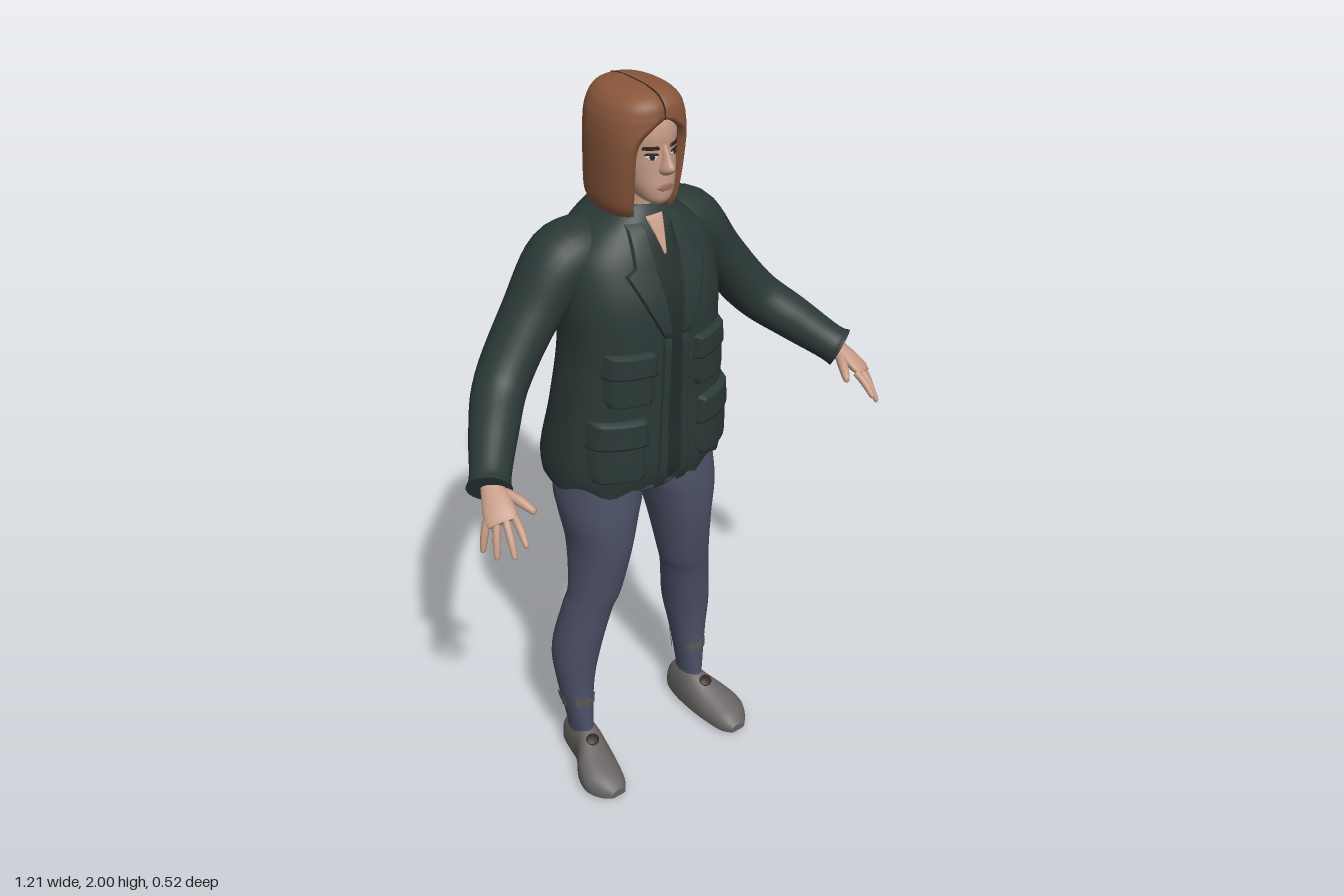
import * as THREE from 'three';

const V = (x, y, z) => new THREE.Vector3(x, y, z);
const mat = (name, color, side = THREE.FrontSide) => {
  const m = new THREE.MeshStandardMaterial({ color, side });
  m.name = name;
  return m;
};

// Catmull-Rom sample of a table of cross-section keys, t in 0..1
function spline(k, t) {
  const s = t * (k.length - 1), i = Math.min(Math.floor(s), k.length - 2), f = s - i;
  const p = j => k[Math.max(0, Math.min(k.length - 1, j))];
  return k[0].map((_, c) => {
    const a = p(i - 1)[c], b = p(i)[c], d = p(i + 1)[c], e = p(i + 2)[c];
    return b + 0.5 * f * (d - a + f * (2 * a - 5 * b + 4 * d - e + f * (3 * (b - d) + e - a)));
  });
}
// Section at a given height (first column)
function atY(k, y) {
  let lo = 0, hi = 1;
  for (let i = 0; i < 24; i++) {
    const m = (lo + hi) / 2;
    if (spline(k, m)[0] < y) lo = m; else hi = m;
  }
  return spline(k, lo);
}
const sup = (v, n) => Math.sign(v) * Math.pow(Math.abs(v), 2 / n);
// Point on a horizontal section [y, centre x, half width, front z, back z]
const around = ([y, cx, rx, zf, zb], a, n, grow = 0) => V(
  cx + (rx + grow) * sup(Math.sin(a), n), y,
  (zf + zb) / 2 + ((zf - zb) / 2 + grow) * sup(Math.cos(a), n));

// Skin closed rings of points; caps get hard edges
function skin(rings, caps = [true, true]) {
  const all = [...rings], n = rings[0].length;
  const mid = r => {
    const c = r.reduce((s, p) => s.add(p), V(0, 0, 0)).divideScalar(n);
    return r.map(() => c);
  };
  if (caps[0]) all.unshift(mid(rings[0]), rings[0]);
  if (caps[1]) all.push(rings.at(-1), mid(rings.at(-1)));
  const pos = [], idx = [];
  all.forEach(r => r.forEach(p => pos.push(p.x, p.y, p.z)));
  for (let i = 0; i < all.length - 1; i++) for (let j = 0; j < n; j++) {
    const a = i * n + j, b = i * n + (j + 1) % n;
    idx.push(a, b, a + n, b, b + n, a + n);
  }
  const g = new THREE.BufferGeometry();
  g.setAttribute('position', new THREE.Float32BufferAttribute(pos, 3));
  g.setIndex(idx);
  g.computeVertexNormals();
  return g;
}
// Upright form from horizontal sections
function loft(keys, n = 2.2, steps = 32, segs = 40) {
  return skin(Array.from({ length: steps + 1 }, (_, i) => {
    const s = spline(keys, i / steps);
    return Array.from({ length: segs }, (_, j) => around(s, j / segs * Math.PI * 2, n));
  }));
}
// Tapered limb through [x, y, z, radius along across, other radius]
function limb(keys, across, steps = 24, segs = 20) {
  return skin(Array.from({ length: steps + 1 }, (_, i) => {
    const t = i / steps, s = spline(keys, t);
    const a = spline(keys, Math.max(0, t - 0.01)), b = spline(keys, Math.min(1, t + 0.01));
    const T = V(b[0] - a[0], b[1] - a[1], b[2] - a[2]).normalize();
    const N = across.clone().addScaledVector(T, -across.dot(T)).normalize();
    const B = T.clone().cross(N);
    return Array.from({ length: segs }, (_, j) => {
      const q = j / segs * Math.PI * 2;
      return V(s[0], s[1], s[2]).addScaledVector(N, s[3] * Math.cos(q)).addScaledVector(B, s[4] * Math.sin(q));
    });
  }));
}
function bend(g, fn) {
  const p = g.attributes.position;
  for (let i = 0; i < p.count; i++) {
    const q = fn(p.getX(i), p.getY(i), p.getZ(i));
    p.setXYZ(i, q.x, q.y, q.z);
  }
  g.computeVertexNormals();
  return g;
}
// Raised plate lying on the front of a form; rows are [y, x from, x to], rising
const plate = (keys, n, rows, t, res = 14) => bend(new THREE.PlaneGeometry(1, 1, res, res), (u, v) => {
  const f = (v + 0.5) * (rows.length - 1), i = Math.min(Math.floor(f), rows.length - 2);
  const [y, x0, x1] = rows[i].map((a, c) => a + (rows[i + 1][c] - a) * (f - i));
  const x = x0 + (x1 - x0) * (u + 0.5), s = atY(keys, y);
  const w = Math.min(1, Math.abs(x - s[1]) / s[2]);
  const edge = Math.max(Math.abs(u), Math.abs(v)) > 0.499;
  const z = (s[3] + s[4]) / 2 + (s[3] - s[4]) / 2 * Math.pow(1 - Math.pow(w, n), 1 / n);
  return V(x, y, z + (edge ? -0.002 : t));
});
// Strip wrapped round a form between two angles
const band = (keys, n, a0, a1, y0, y1, grow, wave) => bend(new THREE.PlaneGeometry(1, 1, 32, 4), (u, v) => {
  const a = a0 + (a1 - a0) * (u + 0.5), y = y0 + (y1 - y0) * (v + 0.5);
  const p = around(atY(keys, y), a, n, grow);
  p.y += wave(a, v);
  return p;
});

export function createModel() {
  const model = new THREE.Group();
  const jacket = mat('jacket green', 0x2b3937, THREE.DoubleSide), shirt = mat('shirt dark', 0x222d2c);
  const trousers = mat('trouser blue', 0x4c5167), hairM = mat('hair brown', 0x8a573b, THREE.DoubleSide);
  const skinM = mat('skin', 0xc69c87), shoeM = mat('shoe grey', 0x666362), dark = mat('dark brown', 0x33251f);
  const white = mat('eye white', 0xd8d2cc), lip = mat('lip', 0xa26f60), patchM = mat('ankle patch', 0x5e5852);

  const add = (name, g, m) => {
    const mesh = new THREE.Mesh(g, m);
    mesh.name = name;
    model.add(mesh);
  };
  const pair = (name, g, m) => {
    add(name + 'Left', g, m);
    const r = g.clone().scale(-1, 1, 1), ix = r.index.array;
    for (let i = 0; i < ix.length; i += 3) [ix[i], ix[i + 1]] = [ix[i + 1], ix[i]];
    add(name + 'Right', r, m);
  };

  // Jacket body with a slightly ragged hem
  const body = [[0.985, 0, 0.245, 0.088, -0.25], [1.05, 0, 0.248, 0.1, -0.255], [1.2, 0, 0.232, 0.1, -0.215],
    [1.38, 0, 0.208, 0.106, -0.2], [1.5, 0, 0.21, 0.1, -0.226], [1.6, 0, 0.195, 0.066, -0.222],
    [1.66, 0, 0.145, 0.038, -0.205], [1.7, 0, 0.09, 0.016, -0.185], [1.72, 0, 0.07, 0, -0.168]];
  const bn = 2.4;
  add('jacketBody', bend(loft(body, bn, 40, 64), (x, y, z) => {
    const a = Math.atan2(x, z), k = Math.max(0, 1 - (y - 0.98) / 0.05);
    return V(x, y + k * 0.009 * (Math.sin(a * 7) + Math.sin(a * 12 + 1)), z);
  }), jacket);
  add('shirtFront', plate(body, bn, [[0.99, -0.024, 0.024], [1.42, -0.018, 0.018], [1.68, -0.04, 0.04]], 0.002, 24), shirt);
  add('neckOpening', plate(body, bn, [[1.61, -0.002, 0.002], [1.7, -0.026, 0.026]], 0.004), skinM);
  pair('frontEdge', plate(body, bn, [[0.975, 0.02, 0.05], [1.2, 0.018, 0.04], [1.43, 0.014, 0.036]], 0.007, 20), jacket);
  pair('lapel', plate(body, bn, [[1.41, 0.012, 0.03], [1.5, 0.022, 0.075], [1.585, 0.032, 0.112],
    [1.6, 0.034, 0.088], [1.69, 0.036, 0.075]], 0.01, 24), jacket);
  // Pockets and their flaps
  const pockets = [[0.06, 0.18, 1.25, 1.37, 1.33, 1.395], [0.08, 0.215, 1.03, 1.17, 1.13, 1.21]];
  for (const [x0, x1, y0, y1, f0, f1] of pockets) {
    pair('pocket', plate(body, bn, [[y0, x0 + 0.01, x1 - 0.01], [y0 + 0.02, x0, x1], [y1, x0, x1]], 0.012), jacket);
    pair('pocketFlap', plate(body, bn, [[f0, x0 - 0.005, x1 + 0.003], [f1, x0, x1 - 0.006]], 0.021), jacket);
  }
  const collar = [[1.64, 0, 0.115, 0.045, -0.208], [1.68, 0, 0.092, 0.03, -0.19], [1.74, 0, 0.07, 0.01, -0.16]];
  add('collar', band(collar, 2.2, 0.6, Math.PI * 2 - 0.6, 1.64, 1.735, 0.006, a => -0.012 * Math.cos(a) - 0.012), jacket);

  // Sleeves
  pair('sleeve', limb([[0.1, 1.595, -0.1, 0.09, 0.085], [0.185, 1.585, -0.1, 0.092, 0.087], [0.28, 1.478, -0.095, 0.078, 0.068],
    [0.385, 1.342, -0.068, 0.07, 0.064], [0.46, 1.272, 0.01, 0.06, 0.058], [0.522, 1.215, 0.09, 0.049, 0.049],
    [0.541, 1.2, 0.115, 0.055, 0.053]], V(0, 0, 1), 36, 28), jacket);

  // Hands: palm, four fingers and a thumb
  const across = V(0.06, -0.015, -0.04);
  pair('palm', limb([[0.53, 1.21, 0.1, 0.024, 0.02], [0.543, 1.188, 0.145, 0.034, 0.018],
    [0.553, 1.168, 0.178, 0.039, 0.016], [0.557, 1.157, 0.195, 0.034, 0.01]], across), skinM);
  const fingers = [[0.528, 1.166, 0.198, 0.535, 1.118, 0.26], [0.549, 1.162, 0.195, 0.562, 1.09, 0.25],
    [0.567, 1.158, 0.183, 0.588, 1.077, 0.212], [0.582, 1.158, 0.165, 0.602, 1.08, 0.172],
    [0.52, 1.196, 0.135, 0.48, 1.166, 0.214]];
  fingers.forEach(([x, y, z, X, Y, Z], i) => {
    const r = i === 4 ? 0.013 : 0.0095;
    const key = (t, q, lift = 0) => [x + (X - x) * t, y + (Y - y) * t + lift, z + (Z - z) * t, q, q];
    pair(i === 4 ? 'thumb' : 'finger', limb([key(0, r), key(0.5, r, 0.005), key(0.92, r * 0.7), key(1, r * 0.25)], across, 10, 10), skinM);
  });

  // Legs and hips
  const leg = [[0.1, 0.197, 0.029, -0.02, -0.12], [0.14, 0.199, 0.031, -0.02, -0.122], [0.28, 0.2, 0.05, -0.025, -0.145],
    [0.4, 0.192, 0.066, -0.014, -0.157], [0.55, 0.167, 0.068, 0.01, -0.13], [0.62, 0.15, 0.071, 0.028, -0.122],
    [0.76, 0.133, 0.08, 0.055, -0.15], [0.86, 0.127, 0.098, 0.062, -0.178], [0.93, 0.118, 0.109, 0.06, -0.2],
    [1.05, 0.11, 0.1, 0.05, -0.19]];
  pair('leg', loft(leg, 2.1, 48, 32), trousers);
  add('hips', loft([[0.905, 0, 0.06, 0.0, -0.13], [0.94, 0, 0.15, 0.045, -0.18], [0.98, 0, 0.215, 0.056, -0.205],
    [1.08, 0, 0.2, 0.05, -0.19]], 2.2, 16), trousers);
  // Ragged patches round the ankles
  const rag = (a, v) => 0.008 * Math.sin(a * 11 + v * 3) + 0.006 * Math.sin(a * 23);
  for (const [a0, a1, y0, y1] of [[-0.9, 0.8, 0.222, 0.243], [1.3, 2.1, 0.2, 0.245], [2.7, 4.1, 0.195, 0.25]])
    pair('anklePatch', band(leg, 2.1, a0, a1, y0, y1, 0.003, rag), patchM);

  // Shoes, sections along z: [z, centre x, half width, top, bottom]
  const shoe = [[-0.14, 0.192, 0.018, 0.075, 0.03], [-0.125, 0.192, 0.031, 0.108, 0.008], [-0.08, 0.193, 0.039, 0.13, 0],
    [-0.03, 0.197, 0.045, 0.127, 0], [0.03, 0.216, 0.06, 0.095, 0], [0.08, 0.225, 0.06, 0.074, 0],
    [0.12, 0.222, 0.046, 0.056, 0.002], [0.148, 0.218, 0.024, 0.034, 0.01]];
  pair('shoe', skin(Array.from({ length: 29 }, (_, i) => {
    const [z, cx, w, top, low] = spline(shoe, i / 28), m = low + (top - low) * 0.35;
    return Array.from({ length: 32 }, (_, j) => {
      const q = j / 32 * Math.PI * 2, s = Math.sin(q), n = s < 0 ? 4 : 2.2;
      return V(cx + w * sup(Math.cos(q), n), m + (s < 0 ? m - low : top - m) * sup(s, n), z);
    });
  })), shoeM);
  pair('shoeTongue', new THREE.SphereGeometry(1, 16, 10).scale(0.02, 0.006, 0.018).rotateX(0.48).translate(0.206, 0.109, 0.004), dark);

  // Head, neck and face
  const head = [[1.735, 0, 0.016, 0.048, 0.005], [1.75, 0, 0.038, 0.06, -0.04], [1.78, 0, 0.054, 0.064, -0.08],
    [1.81, 0, 0.063, 0.062, -0.11], [1.84, 0, 0.068, 0.061, -0.13], [1.87, 0, 0.071, 0.059, -0.14],
    [1.905, 0, 0.073, 0.06, -0.14], [1.94, 0, 0.068, 0.05, -0.13], [1.97, 0, 0.05, 0.015, -0.1]];
  add('head', loft(head), skinM);
  add('neck', loft([[1.62, 0, 0.058, 0, -0.13], [1.7, 0, 0.048, 0.0, -0.11], [1.79, 0, 0.048, 0.01, -0.11]], 2, 10, 24), skinM);
  add('nose', loft([[1.812, 0, 0.01, 0.07, 0.03], [1.822, 0, 0.017, 0.085, 0.03], [1.834, 0, 0.015, 0.092, 0.03],
    [1.852, 0, 0.01, 0.079, 0.03], [1.882, 0, 0.008, 0.062, 0.03]], 2, 14, 20), skinM);
  pair('eye', plate(head, 2.2, [[1.85, 0.024, 0.038], [1.857, 0.017, 0.045], [1.864, 0.022, 0.04]], 0.0015), white);
  pair('iris', plate(head, 2.2, [[1.85, 0.029, 0.034], [1.857, 0.025, 0.038], [1.864, 0.028, 0.035]], 0.003), dark);
  pair('eyelid', plate(head, 2.2, [[1.861, 0.015, 0.047], [1.866, 0.02, 0.042]], 0.004), dark);
  pair('eyebrow', plate(head, 2.2, [[1.873, 0.012, 0.05], [1.882, 0.016, 0.048]], 0.003), dark);
  add('lips', plate(head, 2.2, [[1.774, -0.012, 0.012], [1.782, -0.025, 0.025], [1.79, -0.01, 0.01]], 0.004), lip);

  // Hair shell, open round the face: last column is the half width of the opening
  const hair = [[1.7, 0, 0.086, 0.02, -0.165, 0.056], [1.73, 0, 0.099, 0.038, -0.187, 0.061], [1.8, 0, 0.105, 0.053, -0.185, 0.066],
    [1.87, 0, 0.108, 0.062, -0.182, 0.067], [1.905, 0, 0.107, 0.063, -0.18, 0.054], [1.93, 0, 0.104, 0.061, -0.178, 0.024],
    [1.945, 0, 0.1, 0.06, -0.176, 0], [1.97, 0, 0.088, 0.054, -0.168, 0], [1.99, 0, 0.064, 0.03, -0.148, 0],
    [2, 0, 0.02, -0.02, -0.1, 0]];
  add('hair', skin(Array.from({ length: 49 }, (_, i) => {
    const s = spline(hair, i / 48), a0 = Math.asin(Math.pow(Math.max(0, s[5]) / s[2], 1.2));
    const arc = Array.from({ length: 41 }, (_, j) => a0 + (Math.PI * 2 - 2 * a0) * j / 40);
    const thick = -0.2 * s[2];
    return [...arc.map(a => around(s, a, 2.4)), ...arc.reverse().map(a => around(s, a, 2.4, thick))];
  }), [false, true]), hairM);
  add('hairParting', limb([[0, 1.94, 0.059, 0.002, 0.003], [0, 1.97, 0.053, 0.002, 0.003], [0, 1.99, 0.029, 0.002, 0.003],
    [0, 1.998, -0.02, 0.002, 0.003], [0, 1.998, -0.1, 0.002, 0.003], [0, 1.99, -0.147, 0.002, 0.003]], V(1, 0, 0), 20, 8), dark);

  return model;
}
